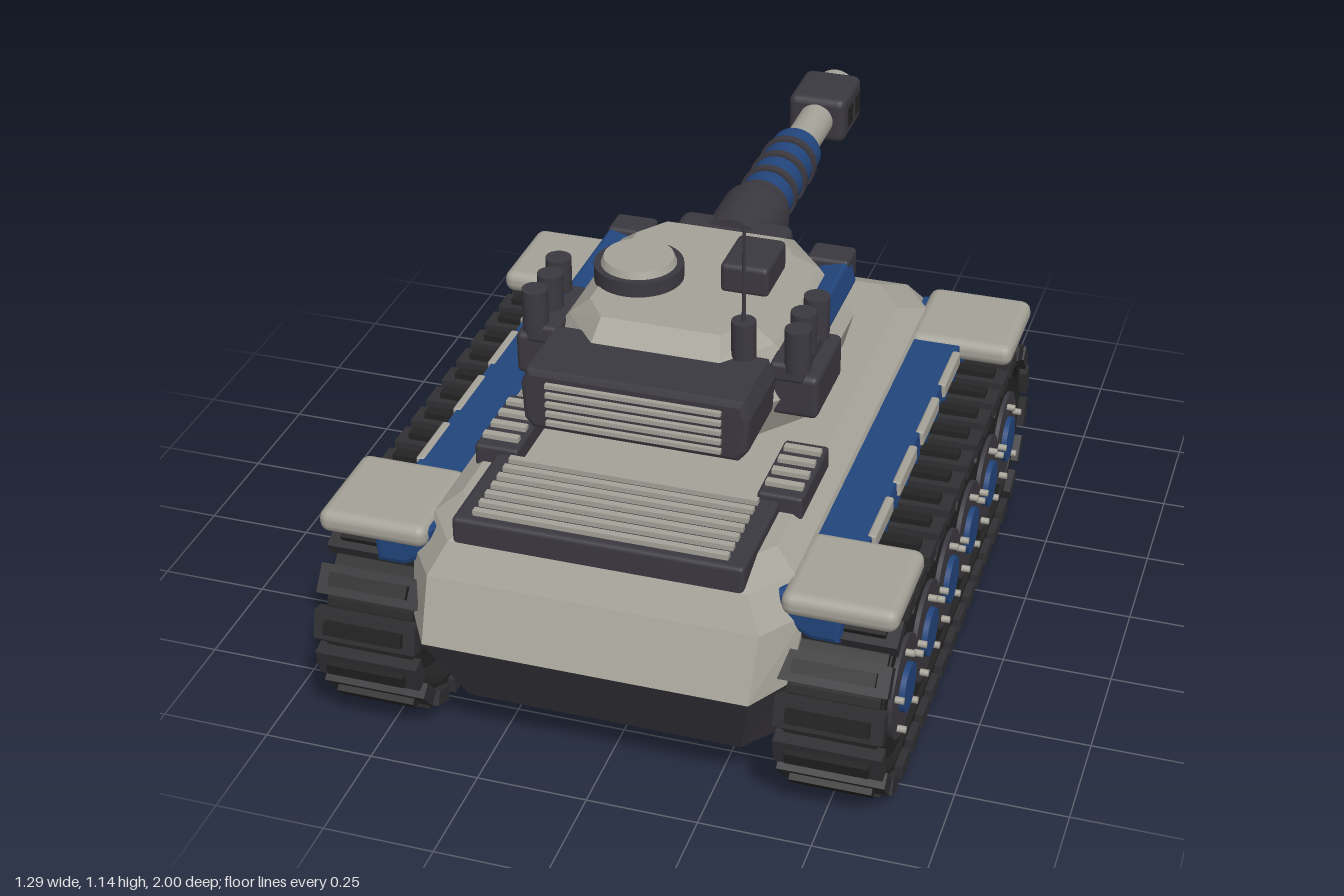
import * as THREE from 'three';
import { RoundedBoxGeometry } from 'three/addons/geometries/RoundedBoxGeometry.js';

const mat = (name, color) => Object.assign(new THREE.MeshStandardMaterial({ color }), { name });

export function createModel() {
  const grey = mat('warm grey armour', 0xa5a298);
  const dark = mat('dark gunmetal', 0x3b3940);
  const blue = mat('navy blue panel', 0x22457c);
  const glow = mat('bright blue lamp', 0x1a84c6);
  const black = mat('black rubber', 0x232323);
  const pad = mat('track steel', 0x302f32);
  const model = new THREE.Group();
  model.name = 'tank';

  const add = (name, geo, m, x = 0, y = 0, z = 0, parent = model) => {
    const mesh = new THREE.Mesh(geo, m);
    mesh.name = name;
    mesh.position.set(x, y, z);
    parent.add(mesh);
    return mesh;
  };
  // Box given by its min/max extents, rounded when r > 0
  const box = (name, m, [x0, x1], [y0, y1], [z0, z1], r = 0) => {
    const s = [x1 - x0, y1 - y0, z1 - z0];
    const geo = r ? new RoundedBoxGeometry(...s, 2, r) : new THREE.BoxGeometry(...s);
    return add(name, geo, m, (x0 + x1) / 2, (y0 + y1) / 2, (z0 + z1) / 2);
  };
  const mirrorX = (s, a, b) => (s > 0 ? [a, b] : [-b, -a]);
  // Stack of octagonal sections [y, half width, back z, front z, corner cut x, corner cut z]
  const loft = (levels) => {
    const rings = levels.map(([y, x, a, b, cx, cz]) => [
      [x, y, b - cz], [x, y, a + cz], [x - cx, y, a], [cx - x, y, a],
      [-x, y, a + cz], [-x, y, b - cz], [cx - x, y, b], [x - cx, y, b]]);
    const pos = [];
    const tri = (...p) => p.forEach((v) => pos.push(...v));
    for (let k = 0; k + 1 < rings.length; k++) {
      const a = rings[k], b = rings[k + 1];
      for (let i = 0; i < 8; i++) {
        const j = (i + 1) % 8;
        tri(a[i], a[j], b[j]);
        tri(a[i], b[j], b[i]);
      }
    }
    const lo = rings[0], hi = rings[rings.length - 1];
    for (let i = 1; i < 7; i++) {
      tri(hi[0], hi[i], hi[i + 1]);
      tri(lo[0], lo[i + 1], lo[i]);
    }
    const g = new THREE.BufferGeometry();
    g.setAttribute('position', new THREE.Float32BufferAttribute(pos, 3));
    g.computeVertexNormals();
    return g;
  };
  const extrude = (pts, depth, bevel = 0) => new THREE.ExtrudeGeometry(
    new THREE.Shape(pts.map((p) => new THREE.Vector2(...p))),
    { depth, bevelEnabled: bevel > 0, bevelSize: bevel, bevelThickness: bevel, bevelOffset: -bevel, bevelSegments: 2 });
  // Cylinder along z between two z values
  const rodZ = (name, m, r, z0, z1, y, r2 = r) => {
    const g = new THREE.CylinderGeometry(r, r2, z1 - z0, 32).rotateX(Math.PI / 2);
    return add(name, g, m, 0, y, (z0 + z1) / 2);
  };

  // Hull
  add('lowerHull', loft([[0.125, 0.4, -0.44, 0.88, 0.09, 0.12], [0.335, 0.42, -0.58, 1, 0.06, 0.1]]), dark);
  add('upperHull', loft([
    [0.335, 0.42, -0.58, 1, 0.06, 0.1], [0.47, 0.435, -0.52, 0.94, 0.07, 0.1],
    [0.54, 0.4, -0.46, 0.9, 0.07, 0.1], [0.575, 0.35, -0.38, 0.86, 0.07, 0.1]]), grey);

  // Engine deck grille
  box('engineGrille', dark, [-0.32, 0.32], [0.53, 0.6], [0.63, 0.9], 0.01);
  for (let i = 0; i < 7; i++) {
    const z = 0.66 + i * 0.035;
    box('grilleSlat', grey, [-0.28, 0.28], [0.59, 0.612], [z - 0.008, z + 0.008]);
  }

  // Running gear, fenders and hull fittings on each side
  const CZ = [-0.3, 0.725], CY = 0.245, R = 0.205;
  const stadium = (Kind, r) => {
    const p = new Kind();
    p.absarc(CZ[1], CY, r, -Math.PI / 2, Math.PI / 2, false);
    p.absarc(CZ[0], CY, r, Math.PI / 2, Math.PI * 1.5, false);
    p.closePath();
    return p;
  };
  const loop = stadium(THREE.Shape, R);
  loop.holes.push(stadium(THREE.Path, 0.185));
  const bandGeo = new THREE.ExtrudeGeometry(loop, { depth: 0.2, bevelEnabled: false, curveSegments: 20 })
    .translate(0, 0, -0.1).rotateY(-Math.PI / 2);
  const padGeo = new THREE.BoxGeometry(0.235, 0.035, 0.066);
  const barGeo = new THREE.BoxGeometry(0.18, 0.016, 0.03);
  const straight = CZ[1] - CZ[0], arc = Math.PI * R, total = 2 * (straight + arc);
  // Position and outward angle on the track at distance d
  const trackPoint = (d) => {
    if (d < straight) return [CZ[0] + d, CY - R, -Math.PI / 2];
    d -= straight;
    let a = -Math.PI / 2 + d / R;
    if (d < arc) return [CZ[1] + R * Math.cos(a), CY + R * Math.sin(a), a];
    d -= arc;
    if (d < straight) return [CZ[1] - d, CY + R, Math.PI / 2];
    a = Math.PI / 2 + (d - straight) / R;
    return [CZ[0] + R * Math.cos(a), CY + R * Math.sin(a), a];
  };
  const disc = (r, h, n = 32) => new THREE.CylinderGeometry(r, r, h, n).rotateZ(Math.PI / 2);
  const tyreGeo = disc(0.155, 0.17), rimGeo = disc(0.115, 0.19), hubGeo = disc(0.055, 0.215), boltGeo = disc(0.008, 0.02, 8);

  for (const s of [1, -1]) {
    const side = new THREE.Group();
    side.name = s > 0 ? 'leftTrack' : 'rightTrack';
    model.add(side);
    add('trackBand', bandGeo, black, s * 0.517, 0, 0, side);
    for (let i = 0; i < 36; i++) {
      const [z, y, a] = trackPoint((i * total) / 36);
      const link = new THREE.Group();
      link.name = 'trackLink';
      link.position.set(s * 0.517, y, z);
      link.rotation.x = Math.PI / 2 - a;
      side.add(link);
      add('trackPad', padGeo, pad, 0, 0.008, 0, link);
      add('trackGrouser', barGeo, black, 0, 0.032, 0, link);
    }
    for (let i = 0; i < 6; i++) {
      const z = CZ[1] - i * 0.205;
      add('wheelTyre', tyreGeo, black, s * 0.53, CY, z, side);
      add('wheelRim', rimGeo, dark, s * 0.53, CY, z, side);
      add('wheelHub', hubGeo, blue, s * 0.53, CY, z, side);
      for (let k = 0; k < 5; k++) {
        const a = (k / 5) * Math.PI * 2 + Math.PI / 2;
        add('wheelBolt', boltGeo, grey, s * 0.634, CY + 0.09 * Math.sin(a), z + 0.09 * Math.cos(a), side);
      }
    }

    // Blue sponson above the track, with corner fenders and clips
    const prof = [[0.38, 0.53], [0.39, 0.46], [0.45, 0.425], [0.515, 0.425], [0.52, 0.48], [0.515, 0.53]];
    const pts = prof.map(([x, y]) => [s * x, y]);
    add('sponsonPanel', extrude(pts, 0.86), blue, 0, 0, -0.225);
    for (const z of [0.65, -0.43]) add('fenderBracket', extrude(pts, 0.2, 0.015), blue, 0, 0, z);
    box('rearFender', grey, mirrorX(s, 0.39, 0.64), [0.487, 0.542], [0.63, 0.885], 0.024);
    box('frontFender', grey, mirrorX(s, 0.39, 0.64), [0.487, 0.542], [-0.475, -0.22], 0.024);
    for (let i = 0; i < 4; i++) {
      const z = 0.53 - i * 0.215;
      box('sponsonClip', grey, mirrorX(s, 0.505, 0.525), [0.495, 0.533], [z - 0.08, z + 0.08], 0.006);
    }

    // Side vents
    box('sideVent', dark, mirrorX(s, 0.27, 0.37), [0.56, 0.615], [0.42, 0.64], 0.008);
    for (let i = 0; i < 4; i++) {
      const z = 0.46 + i * 0.047;
      box('sideVentSlat', grey, mirrorX(s, 0.28, 0.362), [0.61, 0.626], [z - 0.009, z + 0.009]);
    }

    // Headlamps
    const hood = add('lampHood', extrude([[0.23, 0.4], [0.39, 0.4], [0.4, 0.47], [0.35, 0.435], [0.23, 0.435]]
      .map(([x, y]) => [s * x, y]), 0.05), dark, 0, 0, -0.565);
    hood.material = dark;
    box('headlamp', glow, mirrorX(s, 0.25, 0.365), [0.408, 0.43], [-0.572, -0.563]);

    // Turret cheeks, launchers and sensors
    box('cheekBox', dark, mirrorX(s, 0.24, 0.345), [0.685, 0.788], [0.23, 0.44], 0.014);
    box('launcherRail', dark, mirrorX(s, 0.24, 0.315), [0.775, 0.82], [0.25, 0.45], 0.01);
    [[0.298, 0.28], [0.29, 0.355], [0.298, 0.43]].forEach(([x, z]) =>
      add('smokeLauncher', new THREE.CylinderGeometry(0.029, 0.029, 0.1, 20), dark, s * x, 0.852, z));
    const panel = box('turretSidePanel', blue, mirrorX(s, 0.225, 0.295), [0.748, 0.815], [-0.06, 0.33], 0.01);
    panel.rotation.z = s * 0.25;
    box('sensorBox', dark, mirrorX(s, 0.19, 0.29), [0.755, 0.825], [-0.1, -0.02], 0.01);
    box('sensorLens', glow, mirrorX(s, 0.205, 0.275), [0.775, 0.81], [-0.108, -0.099]);
    box('sensorMount', blue, mirrorX(s, 0.2, 0.27), [0.7, 0.76], [-0.075, 0.02], 0.01);
  }

  // Turret
  add('turretRing', new THREE.CylinderGeometry(0.215, 0.215, 0.07, 40), dark, 0, 0.6, 0.19);
  add('turretBody', loft([
    [0.625, 0.29, -0.16, 0.5, 0.13, 0.16], [0.725, 0.32, -0.125, 0.53, 0.13, 0.16],
    [0.83, 0.235, -0.08, 0.5, 0.09, 0.11], [0.875, 0.185, 0, 0.46, 0.05, 0.07]]), grey);

  // Rear stowage bustle with slats
  add('bustle', extrude([[-0.23, 0.685], [0.23, 0.685], [0.25, 0.71], [0.255, 0.79], [0.24, 0.83],
    [-0.24, 0.83], [-0.255, 0.79], [-0.25, 0.71]], 0.18, 0.012), dark, 0, 0, 0.455);
  for (let i = 0; i < 5; i++) {
    const y = 0.71 + i * 0.023;
    box('bustleSlat', grey, [-0.195, 0.195], [y - 0.005, y + 0.005], [0.645, 0.658]);
  }

  // Hatch, roof sight and antenna
  add('hatchRing', new THREE.CylinderGeometry(0.1, 0.1, 0.04, 40), dark, -0.115, 0.89, 0.262);
  add('hatchLid', new THREE.CylinderGeometry(0.078, 0.088, 0.025, 40), grey, -0.115, 0.914, 0.262);
  box('roofSight', dark, [0.075, 0.185], [0.87, 0.942], [0.125, 0.275], 0.012);
  box('roofSightLens', glow, [0.095, 0.165], [0.895, 0.925], [0.117, 0.126]);
  add('antennaBase', new THREE.CylinderGeometry(0.027, 0.027, 0.09, 20), dark, 0.185, 0.872, 0.455);
  add('antenna', new THREE.CylinderGeometry(0.004, 0.005, 0.24, 8), dark, 0.185, 1.025, 0.455);

  // Main gun
  const GY = 0.785;
  box('mantlet', dark, [-0.135, 0.135], [0.71, 0.85], [-0.125, 0], 0.025);
  rodZ('gunCollar', dark, 0.084, -0.255, -0.06, GY);
  rodZ('gunSleeve', blue, 0.064, -0.61, -0.25, GY);
  for (let i = 0; i < 4; i++) {
    const z = -0.29 - i * 0.083;
    rodZ('sleeveRing', dark, 0.071, z - 0.011, z + 0.011, GY);
  }
  rodZ('barrel', grey, 0.044, -0.81, -0.6, GY);
  box('muzzleBrake', dark, [-0.074, 0.074], [0.725, 0.845], [-0.972, -0.795], 0.02);
  for (const s of [1, -1]) for (const z of [-0.925, -0.855])
    box('muzzlePort', black, mirrorX(s, 0.07, 0.077), [0.76, 0.81], [z - 0.02, z + 0.02]);
  const lip = [[0.036, 0.96], [0.054, 0.96], [0.054, 0.994], [0.048, 1], [0.036, 1], [0.036, 0.96]];
  add('muzzleLip', new THREE.LatheGeometry(lip.map((p) => new THREE.Vector2(...p)), 32)
    .rotateX(-Math.PI / 2), grey, 0, GY, 0);
  rodZ('muzzleBore', black, 0.037, -0.976, -0.95, GY);

  return model;
}
